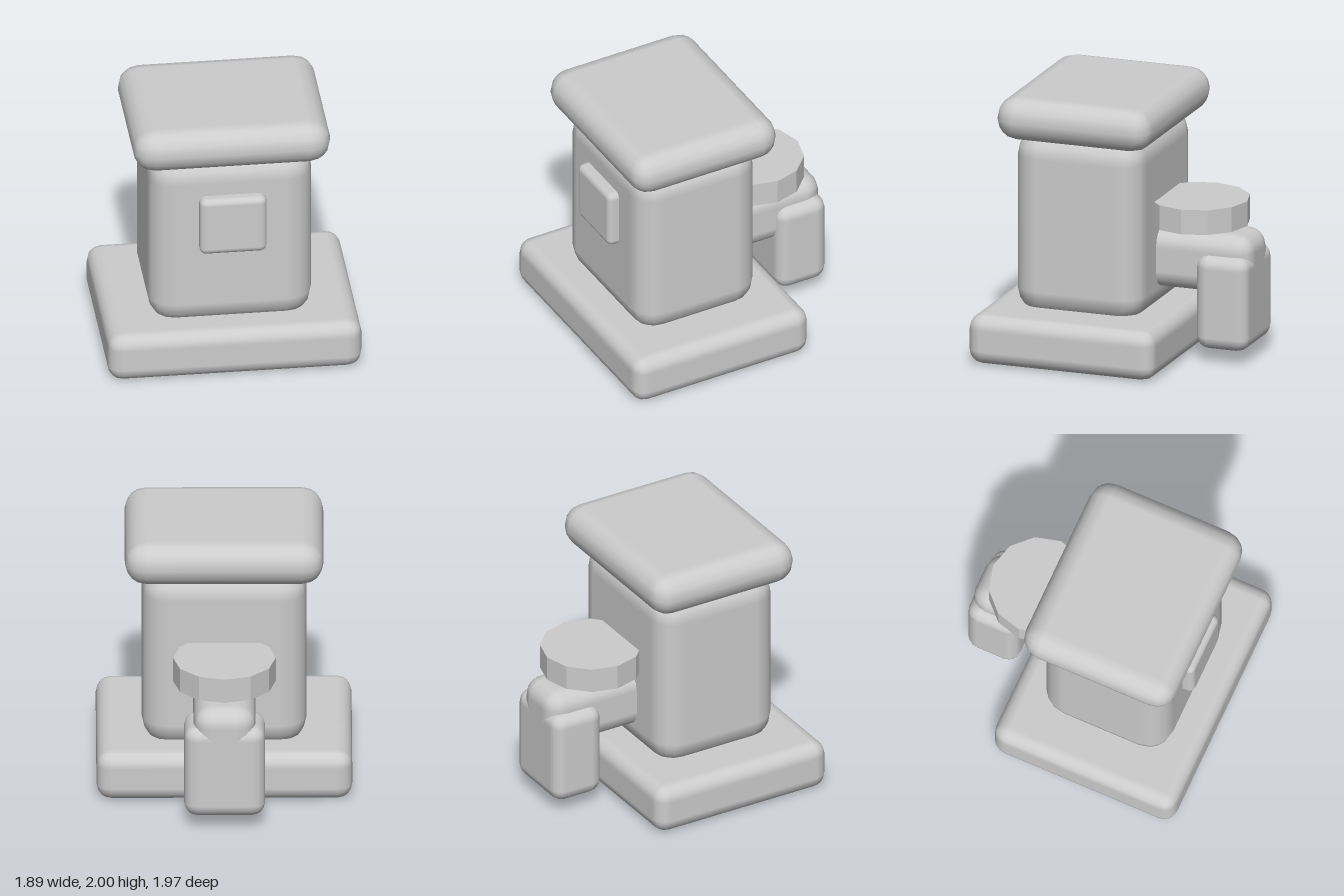
import * as THREE from 'three';
import { RoundedBoxGeometry } from 'three/addons/geometries/RoundedBoxGeometry.js';

export function createModel() {
  const model = new THREE.Group();
  model.name = 'smallKiosk';

  const grey = new THREE.MeshStandardMaterial({ color: 0xcccccc });
  grey.name = 'plain grey';
  const greyFaceted = new THREE.MeshStandardMaterial({ color: 0xcccccc, flatShading: true });
  greyFaceted.name = 'plain grey faceted';

  // Rounded block centred on x, given by half width, y range, z range and edge radius
  function block(name, halfWidth, [y0, y1], [z0, z1], radius) {
    const geometry = new RoundedBoxGeometry(halfWidth * 2, y1 - y0, z1 - z0, 2, radius);
    const mesh = new THREE.Mesh(geometry, grey);
    mesh.name = name;
    mesh.position.set(0, (y0 + y1) / 2, (z0 + z1) / 2);
    model.add(mesh);
  }

  block('base', 0.945, [0, 0.38], [-0.485, 0.985], 0.11);
  block('body', 0.61, [0.31, 1.73], [-0.25, 0.76], 0.2);
  block('roof', 0.735, [1.67, 2], [-0.36, 0.86], 0.16);
  block('frontPanel', 0.25, [0.97, 1.435], [0.67, 0.845], 0.05);

  // Arm out of the back, with a block hanging from its end
  block('rearArm', 0.23, [0.51, 0.97], [-0.985, -0.1], 0.14);
  block('hangingBlock', 0.3, [0.1, 0.825], [-0.985, -0.57], 0.1);

  // Twelve-sided disc above the arm, half sunk into the body
  const disc = new THREE.Mesh(new THREE.CylinderGeometry(0.38, 0.38, 0.19, 12), greyFaceted);
  disc.name = 'rearDisc';
  disc.position.set(0, 1.1, -0.505);
  model.add(disc);

  return model;
}
